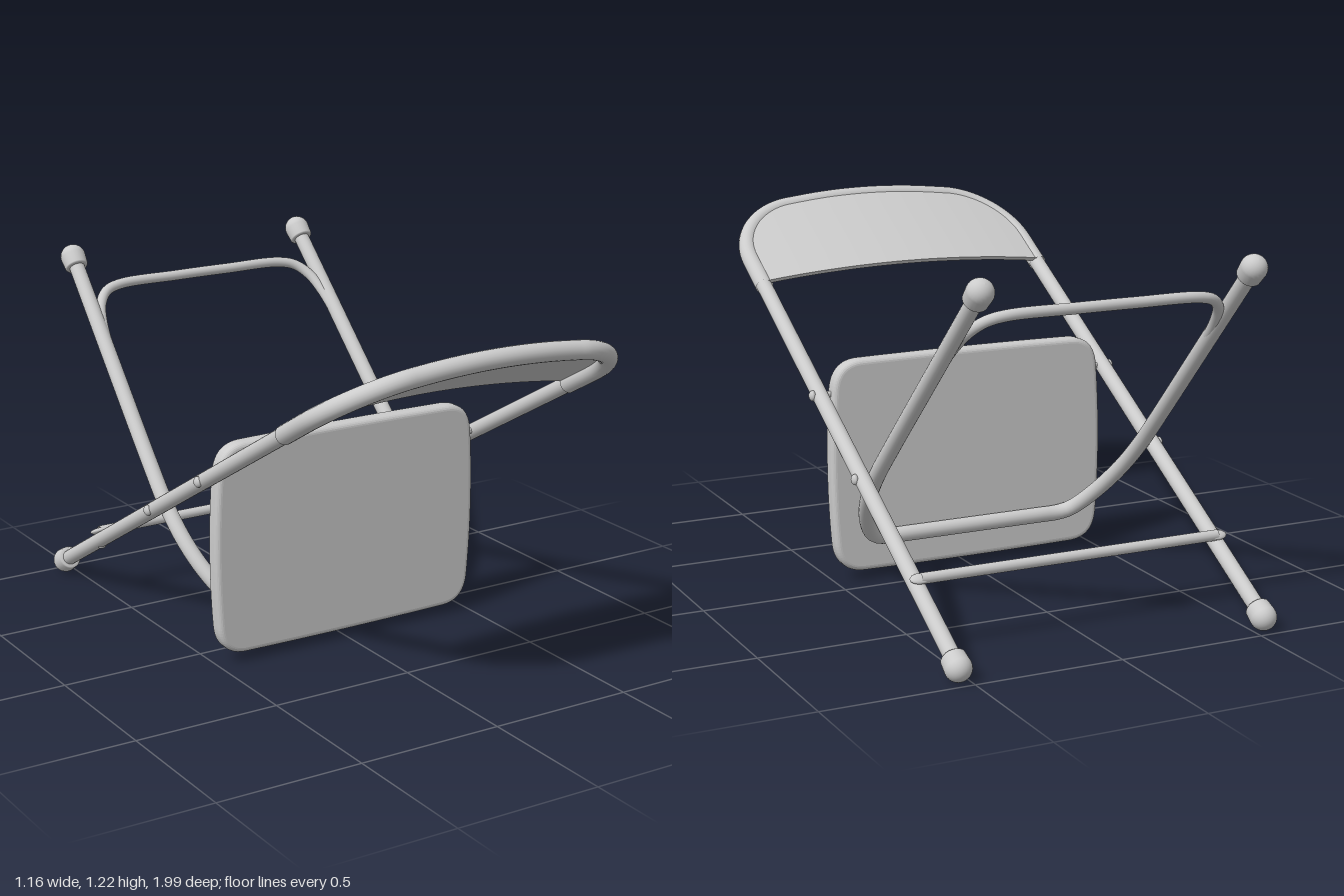
import * as THREE from 'three';

const V = (x, y, z) => new THREE.Vector3(x, y, z);
const mat = new THREE.MeshStandardMaterial({ color: 0xcccccc, side: THREE.DoubleSide });

function add(parent, name, geo, pos = [0, 0, 0]) {
  const m = new THREE.Mesh(geo, mat);
  m.name = name;
  m.position.set(...pos);
  parent.add(m);
  return m;
}

// Round tube through points
function tube(points, r, segs) {
  const curve = new THREE.CatmullRomCurve3(points, false, 'centripetal');
  return new THREE.TubeGeometry(curve, segs, r, 20);
}

// Mirror a half path (ending near the middle) into a full left-to-right path
function mirrored(half) {
  return [...half, ...half.slice().reverse().map((p) => V(-p.x, p.y, p.z))];
}

// Rubber foot: short sleeve with a domed end towards -y
function footGeometry() {
  const pts = [];
  for (let i = 0; i <= 8; i++) {
    const a = (i / 8) * Math.PI / 2;
    pts.push(new THREE.Vector2(0.044 * Math.sin(a), -0.044 * Math.cos(a)));
  }
  pts.push(new THREE.Vector2(0.041, 0.04), new THREE.Vector2(0.037, 0.045), new THREE.Vector2(0.025, 0.045));
  return new THREE.LatheGeometry(pts, 24);
}

// Rivet along x with a rounded head at +x
function rivetGeometry(length) {
  const g = new THREE.LatheGeometry([
    [0.011, -length], [0.011, -0.012], [0.019, -0.012], [0.017, -0.004], [0.01, 0.002], [0, 0.003],
  ].map((p) => new THREE.Vector2(...p)), 16);
  return g.rotateZ(-Math.PI / 2);
}

// Outline of the backrest in the plane of the main frame
const HALF = 0.535, FLAT = 0.29, LOW = 1.805, BEND = 1.95;
const bow = (x) => -0.04 * (1 - (x / HALF) ** 2);
function topEdge(x) {
  const a = Math.abs(x);
  if (a < FLAT) return 2.225 - 0.015 * (a / FLAT) ** 2;
  return BEND + 0.26 * Math.sqrt(Math.max(0, 1 - ((a - FLAT) / (HALF - FLAT)) ** 2));
}

function backArch() {
  const half = [V(HALF, LOW, 0), V(HALF, 1.88, 0)];
  for (let i = 0; i <= 10; i++) {
    const a = (i / 10) * Math.PI / 2;
    const x = FLAT + (HALF - FLAT) * Math.cos(a);
    half.push(V(x, BEND + 0.26 * Math.sin(a), bow(x)));
  }
  half.push(V(0.18, topEdge(0.18), bow(0.18)), V(0.06, topEdge(0.06), bow(0.06)));
  return mirrored(half);
}

// Curved sheet that fills the arch
function backPanel() {
  const g = new THREE.BoxGeometry(2, 1, 0.014, 48, 4, 1);
  const p = g.attributes.position;
  for (let i = 0; i < p.count; i++) {
    const x = HALF * Math.sin(p.getX(i) * Math.PI / 2);
    const t = p.getY(i) + 0.5;
    p.setXYZ(i, x, LOW + t * (topEdge(x) - LOW), bow(x) - 0.017 + p.getZ(i));
  }
  g.computeVertexNormals();
  return g;
}

// Seat outline with rounded corners and slightly bowed sides
function seatGeometry() {
  const w = 0.48, h = 0.348, r = 0.09, s = new THREE.Shape();
  s.moveTo(-w + r, -h);
  s.quadraticCurveTo(0, -h - 0.006, w - r, -h);
  s.bezierCurveTo(w - r / 3, -h, w - 0.004, -h + r / 3, w, -h + r);
  s.quadraticCurveTo(w + 0.02, 0, w, h - r);
  s.bezierCurveTo(w - 0.004, h - r / 3, w - r / 3, h, w - r, h);
  s.quadraticCurveTo(0, h + 0.006, -w + r, h);
  s.bezierCurveTo(-w + r / 3, h, -w + 0.004, h - r / 3, -w, h - r);
  s.quadraticCurveTo(-w - 0.02, 0, -w, -h + r);
  s.bezierCurveTo(-w + 0.004, -h + r / 3, -w + r / 3, -h, -w + r, -h);
  return new THREE.ExtrudeGeometry(s, {
    depth: 0.026, bevelThickness: 0.018, bevelSize: 0.018, bevelSegments: 5, curveSegments: 16,
  }).translate(0, 0, -0.013);
}

export function createModel() {
  const root = new THREE.Group();
  root.name = 'foldingChair';

  // Main frame, built upright along y and leaned forwards
  const main = new THREE.Group();
  main.name = 'mainFrame';
  main.position.set(0, 0.05, -0.955);
  main.rotation.x = 1.056;
  root.add(main);
  for (const side of [-1, 1]) {
    add(main, 'frontLeg', new THREE.CylinderGeometry(0.027, 0.027, 1.85, 20), [side * HALF, 0.925, 0]);
    add(main, 'frontFoot', footGeometry(), [side * HALF, 0, 0]);
    // Flattened crossbar ends with their rivets
    const tab = add(main, 'crossbarEnd', new THREE.SphereGeometry(1, 20, 12), [side * 0.53, 0.34, -0.032]);
    tab.scale.set(0.035, 0.021, 0.011);
    const head = add(main, 'crossbarRivet', new THREE.SphereGeometry(0.014, 14, 8), [side * HALF, 0.34, 0.024]);
    head.scale.z = 0.6;
  }
  add(main, 'crossbar', tube([V(-0.53, 0.34, -0.032), V(0, 0.34, -0.032), V(0.53, 0.34, -0.032)], 0.018, 8));
  add(main, 'backrestRim', tube(backArch(), 0.031, 120));
  add(main, 'backrestPanel', backPanel());

  // Rear frame: a bent loop lying in a sloping plane
  const rear = new THREE.Group();
  rear.name = 'rearFrame';
  root.add(rear);
  const onPlane = ([x, z]) => V(x, 0.455 - (z + 0.24) * 1.01, z);
  const legs = [[0.463, -0.955], [0.475, -0.65], [0.486, -0.35], [0.487, -0.25], [0.475, -0.15],
    [0.445, -0.06], [0.4, 0.015], [0.37, 0.043], [0.33, 0.055], [0.25, 0.056], [0.08, 0.056]].map(onPlane);
  add(rear, 'rearLegs', tube(mirrored(legs), 0.027, 140));
  const brace = [[0.466, -0.69], [0.452, -0.76], [0.43, -0.81], [0.39, -0.845], [0.33, -0.86], [0.1, -0.863]].map(onPlane);
  add(rear, 'rearBrace', tube(mirrored(brace), 0.018, 80));
  const axis = legs[1].clone().sub(legs[0]).normalize();
  for (const side of [-1, 1]) {
    const foot = add(rear, 'rearFoot', footGeometry(), [side * legs[0].x, legs[0].y, legs[0].z]);
    foot.quaternion.setFromUnitVectors(V(0, 1, 0), V(side * axis.x, axis.y, axis.z));
  }

  // Seat, hanging upright between the legs
  const seat = add(root, 'seat', seatGeometry(), [0, 0.402, 0.109]);
  seat.rotation.x = 0.012;

  // Pivot rivets for the seat and the leg crossing
  for (const [y, z] of [[0.655, 0.115], [0.455, -0.24]]) {
    for (const side of [-1, 1]) {
      const rivet = add(root, 'pivotRivet', rivetGeometry(0.09), [side * 0.569, y, z]);
      if (side < 0) rivet.rotation.y = Math.PI;
    }
  }
  return root;
}
